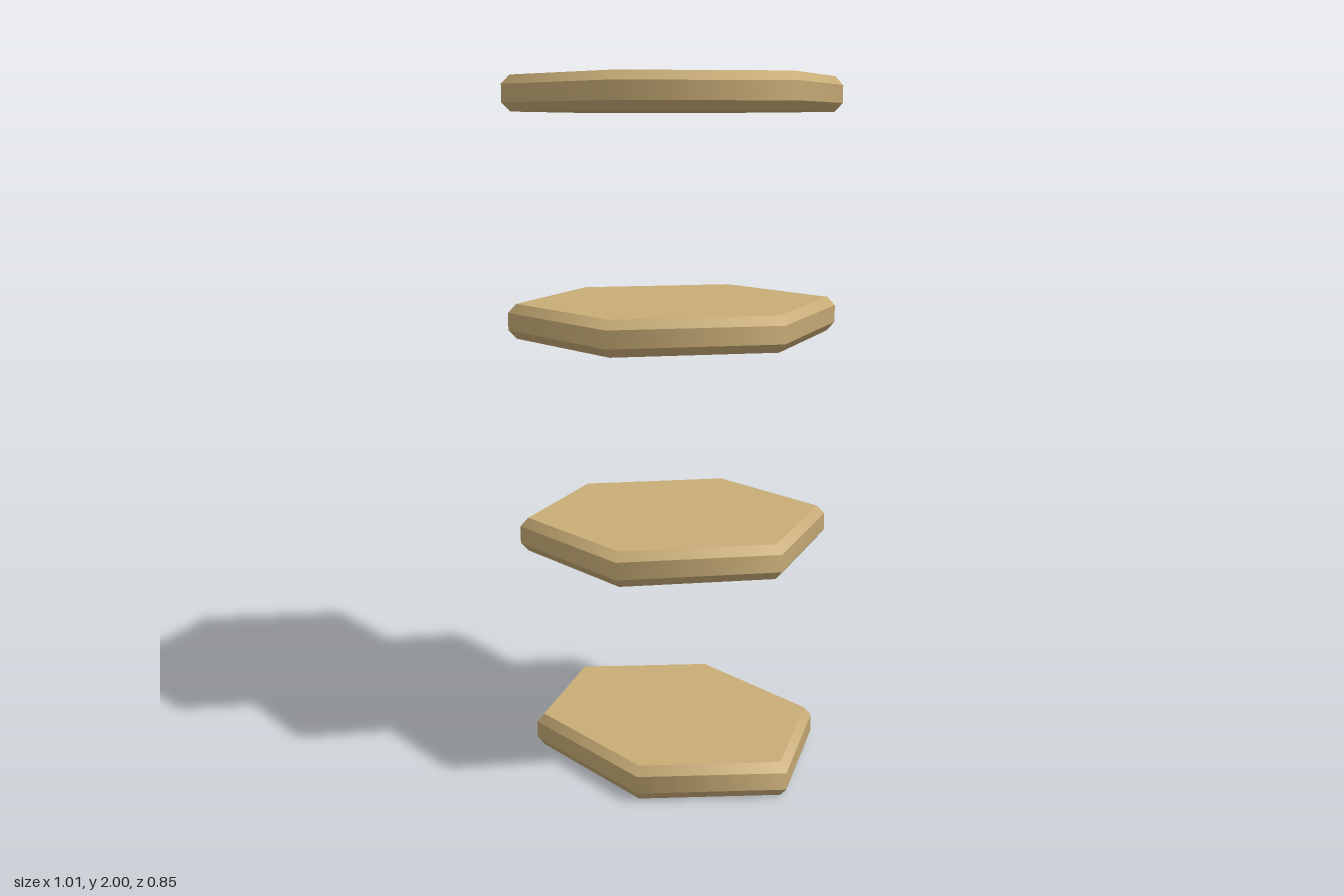
import * as THREE from 'three';
import { mergeGeometries } from 'three/addons/utils/BufferGeometryUtils.js';

const HEIGHT = 0.1, BEVEL = 0.025, INSET = 0.95;

// One ring of a six-sided plate, with corners on the x axis
function hexRing(rTop, rBottom, height, y, open) {
  return new THREE.CylinderGeometry(rTop, rBottom, height, 6, 1, open, Math.PI / 2).translate(0, y, 0);
}

// Unit plate: straight rim with a bevel above and below, closed by flat caps
function hexPlateGeometry() {
  const rim = hexRing(1, 1, HEIGHT - 2 * BEVEL, 0, true);
  const offset = HEIGHT / 2 - BEVEL / 2;
  const upper = hexRing(INSET, 1, BEVEL, offset, true);
  const lower = hexRing(1, INSET, BEVEL, -offset, true);
  const top = new THREE.CircleGeometry(INSET, 6).rotateX(-Math.PI / 2).translate(0, HEIGHT / 2, 0);
  const bottom = new THREE.CircleGeometry(INSET, 6).rotateX(Math.PI / 2).translate(0, -HEIGHT / 2, 0);
  return mergeGeometries([rim, upper, lower, top, bottom]);
}

export function createModel() {
  const group = new THREE.Group();
  group.name = 'hexPlateStack';
  const sand = new THREE.MeshStandardMaterial({ color: 0xc9ad77 });
  sand.name = 'sand';
  const geometry = hexPlateGeometry();

  // Half width and half depth of each plate, from bottom to top
  const plates = [
    ['bottomPlate', 0.496, 0.341],
    ['lowerMiddlePlate', 0.464, 0.397],
    ['upperMiddlePlate', 0.463, 0.423],
    ['topPlate', 0.505, 0.415],
  ];
  const step = (2 - HEIGHT) / (plates.length - 1);
  plates.forEach(([name, halfX, halfZ], i) => {
    const plate = new THREE.Mesh(geometry, sand);
    plate.name = name;
    plate.scale.set(halfX, 1, halfZ / Math.sin(Math.PI / 3));
    plate.position.y = HEIGHT / 2 + i * step;
    group.add(plate);
  });
  return group;
}
